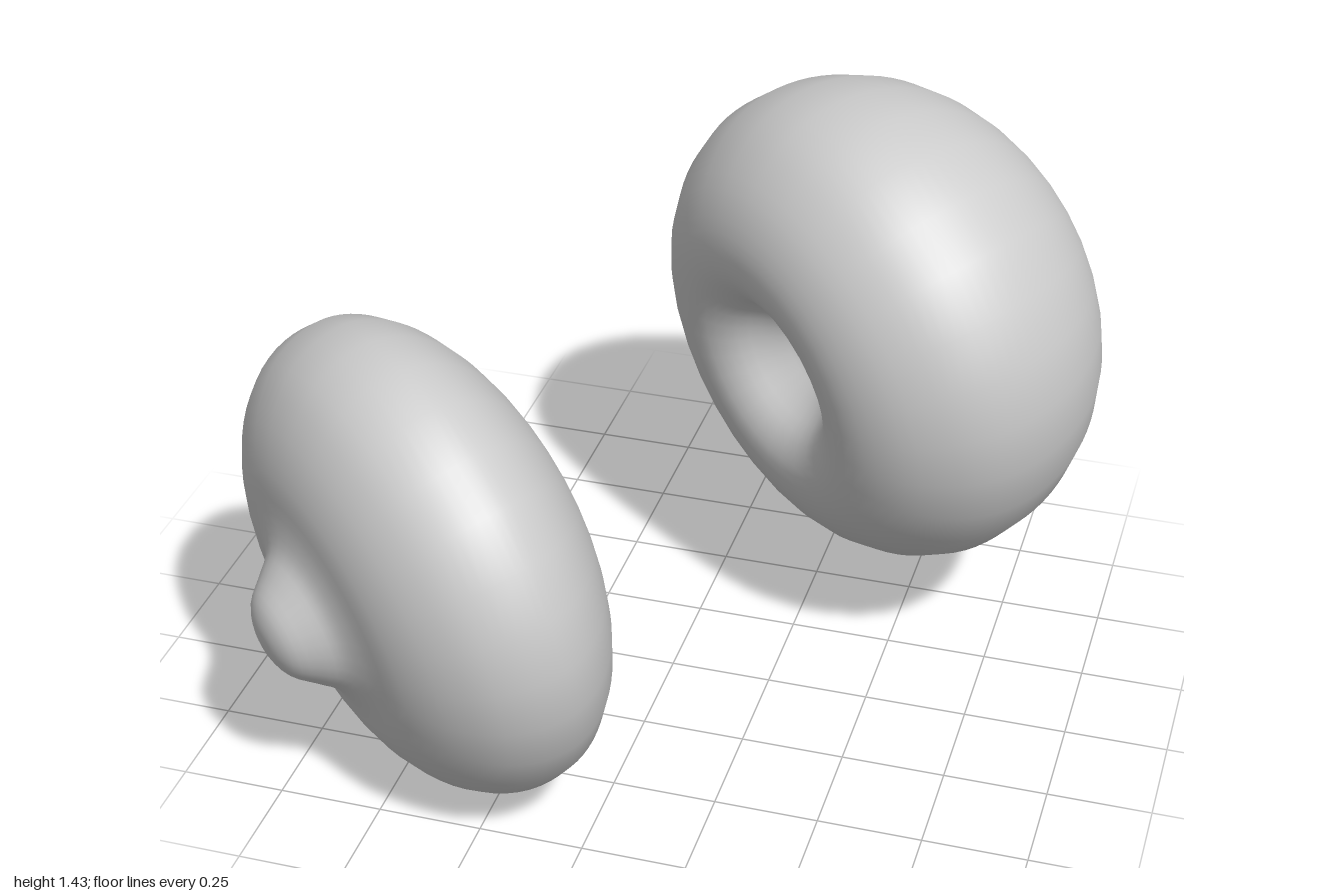
import * as THREE from 'three';

const material = new THREE.MeshStandardMaterial({ color: 0xcccccc, side: THREE.DoubleSide });

// Shared axis of both halves, pointing from the socket towards the stud
const axis = new THREE.Vector3(-0.64, -0.2, 0.745).normalize();

// Smooth round body: an elliptical back, then a face profile of [radius, height along the axis]
function roundBody(name, { radius, depth, widest, face, center }) {
  const profile = [];
  for (let i = 0; i <= 8; i++) {
    const a = (i / 8) * Math.PI / 2;
    profile.push(new THREE.Vector2(radius * Math.sin(a), widest - depth * Math.cos(a)));
  }
  face.forEach(([r, t]) => profile.push(new THREE.Vector2(r, t)));
  const points = new THREE.SplineCurve(profile).getPoints(56);
  points.forEach((p) => { p.x = Math.max(p.x, 0); });
  points[points.length - 1].x = 0;
  const mesh = new THREE.Mesh(new THREE.LatheGeometry(points, 28), material);
  mesh.name = name;
  mesh.position.set(...center);
  mesh.quaternion.setFromUnitVectors(new THREE.Vector3(0, 1, 0), axis);
  return mesh;
}

export function createModel() {
  const group = new THREE.Group();
  group.name = 'studAndSocketPair';

  // Domed half with a dimple in its flatter face
  group.add(roundBody('socketHalf', {
    radius: 0.62, depth: 0.52, widest: 0.05, center: [0.415, 0.835, -0.485],
    face: [
      [0.605, 0.15], [0.56, 0.24], [0.48, 0.325], [0.38, 0.378], [0.28, 0.388],
      [0.2, 0.35], [0.14, 0.275], [0.075, 0.21], [0, 0.19],
    ],
  }));

  // Thinner half with a rounded stud in the middle of its face
  group.add(roundBody('studHalf', {
    radius: 0.597, depth: 0.328, widest: 0, center: [-0.44, 0.595, 0.52],
    face: [
      [0.582, 0.08], [0.535, 0.16], [0.45, 0.23], [0.35, 0.275], [0.25, 0.295],
      [0.185, 0.32], [0.145, 0.36], [0.1, 0.408], [0.05, 0.43], [0, 0.435],
    ],
  }));

  return group;
}
